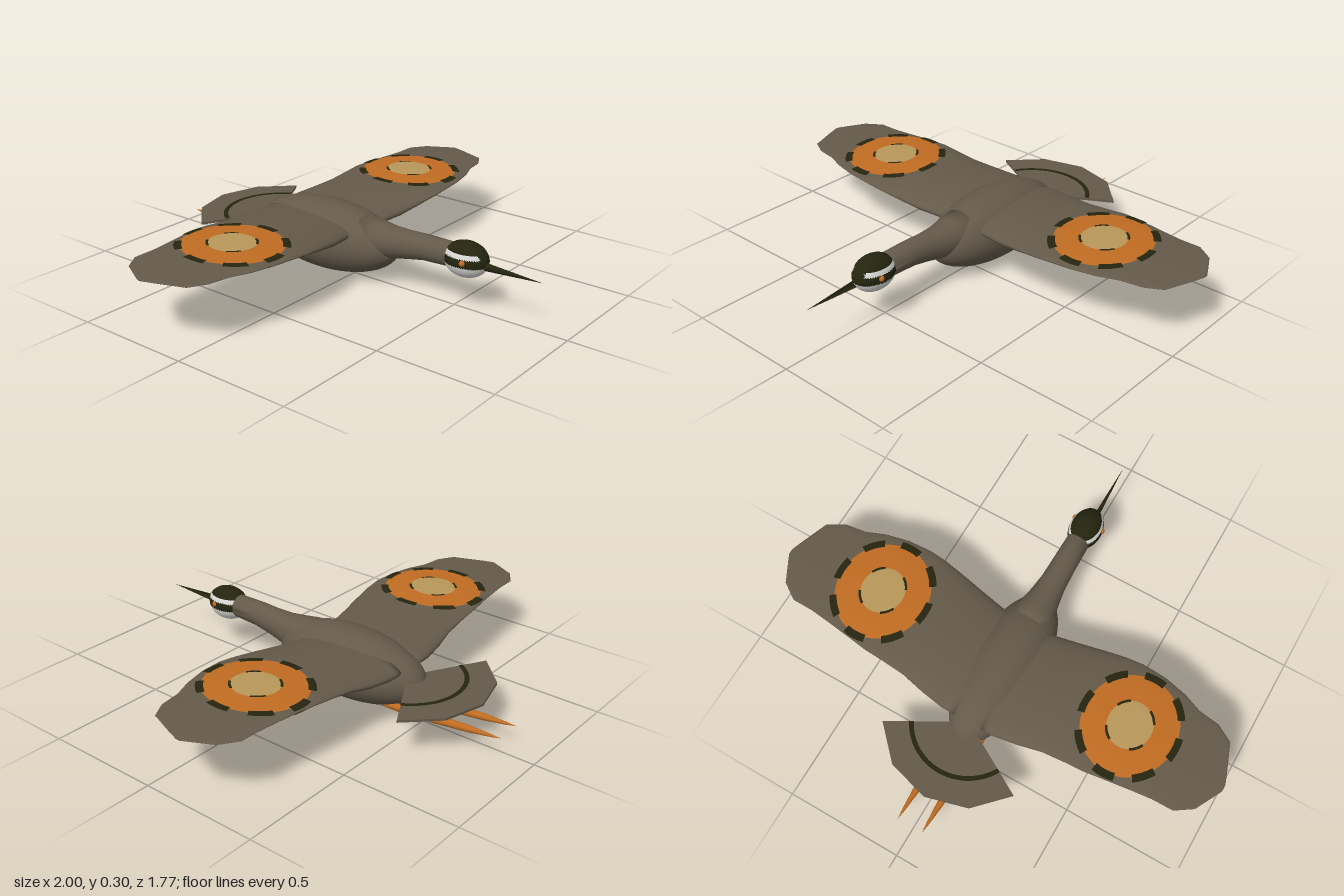
import * as THREE from 'three';

const mat = (name, color, side = THREE.FrontSide) => {
  const m = new THREE.MeshStandardMaterial({ color, side });
  m.name = name;
  return m;
};

// Wing sections: x, leading z, trailing z, centre y, half thickness
const WING = [
  [0.06, 0.04, -0.43, 0.215, 0.05],
  [0.12, 0.06, -0.43, 0.217, 0.05],
  [0.22, 0.078, -0.415, 0.224, 0.05],
  [0.32, 0.095, -0.395, 0.239, 0.04],
  [0.42, 0.11, -0.39, 0.254, 0.028],
  [0.5, 0.115, -0.388, 0.264, 0.021],
  [0.6, 0.108, -0.375, 0.268, 0.018],
  [0.7, 0.085, -0.362, 0.268, 0.015],
  [0.78, 0.053, -0.353, 0.268, 0.012],
  [0.87, 0.04, -0.352, 0.269, 0.009],
  [0.94, 0.0, -0.305, 0.269, 0.006],
  [0.985, -0.12, -0.22, 0.269, 0.004],
  [1.0, -0.165, -0.19, 0.269, 0.002],
];

function wingSection(x) {
  let i = 0;
  while (i < WING.length - 2 && x > WING[i + 1][0]) i++;
  const a = WING[i], b = WING[i + 1];
  const t = (x - a[0]) / (b[0] - a[0]);
  return a.map((v, k) => v + (b[k] - v) * t);
}

// Skin over equal-length rings of points, closed at both ends
function loft(rings) {
  const n = rings[0].length, pos = rings.flat(2), idx = [];
  for (let i = 0; i < rings.length - 1; i++) {
    for (let j = 0; j < n; j++) {
      const k = (j + 1) % n, a = i * n, b = a + n;
      idx.push(a + j, a + k, b + j, a + k, b + k, b + j);
    }
  }
  const last = (rings.length - 1) * n;
  for (let j = 1; j < n - 1; j++) idx.push(0, j + 1, j, last, last + j, last + j + 1);
  return indexed(pos, idx);
}

function indexed(pos, idx) {
  const g = new THREE.BufferGeometry();
  g.setAttribute('position', new THREE.Float32BufferAttribute(pos, 3));
  g.setIndex(idx);
  g.computeVertexNormals();
  return g;
}

function ringOf(n, fn) {
  return Array.from({ length: n }, (_, j) => fn((j / n) * Math.PI * 2));
}

// Mirror a geometry across x and keep faces outward
function mirrored(g) {
  const pos = Array.from(g.attributes.position.array, (v, i) => (i % 3 ? v : -v));
  return indexed(pos, Array.from(g.index.array).reverse());
}

// Marking that hugs the wing, cut from an elliptical ring
function marking(r0, r1, t0, t1, face, lift) {
  const nr = 8, nt = Math.max(4, Math.ceil((t1 - t0) * 9)), pos = [], idx = [];
  for (let i = 0; i <= nr; i++) {
    for (let j = 0; j <= nt; j++) {
      const r = r0 + ((r1 - r0) * i) / nr, t = t0 + ((t1 - t0) * j) / nt;
      const x = 0.57 + 0.193 * r * Math.cos(t), z = -0.14 + 0.212 * r * Math.sin(t);
      const [, lead, trail, cy, h] = wingSection(x);
      const u = Math.min(0.99, Math.abs((2 * z - lead - trail) / (lead - trail)));
      pos.push(x, cy + face * (h * Math.sqrt(1 - u * u) + lift), z);
      if (i < nr && j < nt) {
        const a = i * (nt + 1) + j, b = a + nt + 1;
        idx.push(a, a + 1, b, a + 1, b + 1, b);
      }
    }
  }
  return indexed(pos, idx);
}

export function createModel() {
  const model = new THREE.Group();
  const plumage = mat('olive brown plumage', 0x645a4a);
  const orange = mat('orange', 0xc06c22, THREE.DoubleSide);
  const cream = mat('cream', 0xb8985a, THREE.DoubleSide);
  const dark = mat('dark olive', 0x24240f, THREE.DoubleSide);
  const white = mat('white', 0xd8d8d4);

  const add = (name, geo, material, parent = model) => {
    const m = new THREE.Mesh(geo, material);
    m.name = name;
    parent.add(m);
    return m;
  };

  // Body
  const body = new THREE.SphereGeometry(1, 40, 28).rotateX(Math.PI / 2);
  body.scale(0.155, 0.148, 0.356).translate(0, 0.153, -0.14);
  add('body', body, plumage);

  // Neck: z, centre y, half width, half height
  const neck = [
    [0.06, 0.2, 0.088, 0.08], [0.13, 0.193, 0.08, 0.076], [0.2, 0.193, 0.066, 0.068],
    [0.27, 0.201, 0.056, 0.06], [0.36, 0.212, 0.052, 0.053], [0.5, 0.215, 0.049, 0.049],
  ].map(([z, cy, rx, ry]) => ringOf(28, a => [rx * Math.cos(a), cy + ry * Math.sin(a), z]));
  add('neck', loft(neck), plumage);

  // Head: faces sorted into dark cap, eye stripe and white bands
  const head = new THREE.SphereGeometry(1, 56, 40).toNonIndexed();
  const p = head.attributes.position, order = [[], []];
  for (let i = 0; i < p.count; i += 3) {
    const mid = k => (p['get' + k](i) + p['get' + k](i + 1) + p['get' + k](i + 2)) / 3;
    const y = mid('Y'), x = Math.abs(mid('X'));
    const isWhite = y < -0.2 || (y > 0.28 && y < 0.5 && x > 0.45);
    order[isWhite ? 1 : 0].push(i, i + 1, i + 2);
  }
  head.setIndex(order.flat());
  head.addGroup(0, order[0].length, 0);
  head.addGroup(order[0].length, order[1].length, 1);
  head.scale(0.07, 0.073, 0.096).translate(0, 0.213, 0.548);
  add('head', head, [dark, white]);
  for (const s of [1, -1]) {
    const eye = add(s > 0 ? 'leftEye' : 'rightEye', new THREE.SphereGeometry(0.013, 16, 12), orange);
    eye.position.set(s * 0.063, 0.219, 0.57);
  }

  // Bill: dark upper half, orange lower half
  for (const [name, start, m] of [['upperBill', Math.PI / 2, dark], ['lowerBill', -Math.PI / 2, orange]]) {
    const bill = new THREE.ConeGeometry(0.018, 0.265, 12, 1, false, start, Math.PI);
    bill.rotateX(Math.PI / 2).rotateZ(Math.PI / 2);
    // Turn each half so the dark one lies on top
    bill.computeBoundingBox();
    const upward = bill.boundingBox.max.y > 0.01;
    if (upward !== (m === dark)) bill.rotateZ(Math.PI);
    bill.translate(0, 0.203, 0.7525);
    add(name, bill, m);
  }

  // Wings with eye-like markings above and below
  const xs = WING.flatMap((w, i) => (i ? [(w[0] + WING[i - 1][0]) / 2, w[0]] : [w[0]]));
  const wing = loft(xs.map(x => {
    const [, lead, trail, cy, h] = wingSection(x);
    return ringOf(48, a => [x, cy + h * Math.cos(a), (lead + trail) / 2 + ((lead - trail) / 2) * Math.sin(a)]);
  }));
  const full = Math.PI * 2;
  for (const s of [1, -1]) {
    const side = new THREE.Group();
    side.name = s > 0 ? 'leftWing' : 'rightWing';
    model.add(side);
    const put = (name, g, m) => add(name, s > 0 ? g : mirrored(g), m, side);
    put('wingSurface', wing, plumage);
    for (const face of [1, -1]) {
      put('orangeSpot', marking(0.44, 1, 0, full, face, 0.003), orange);
      put('creamCentre', marking(0, 0.47, 0, full, face, 0.0035), cream);
      for (let k = 0; k < 8; k++) {
        const a = (k * Math.PI) / 4;
        put('spotFringe', marking(0.95, 1.1, a - 0.22, a + 0.22, face, 0.0036), dark);
        if (k % 2) put('centreDash', marking(0.45, 0.5, a - 0.3, a + 0.3, face, 0.0045), dark);
      }
    }
  }

  // Fan tail with a dark band
  const fan = new THREE.Shape([new THREE.Vector2(0, 0)]);
  const spread = 1.06;
  for (let i = -2; i <= 2; i++) {
    const a = (i / 2) * spread;
    fan.lineTo(-0.348 * Math.sin(a), 0.348 * Math.cos(a));
  }
  const tail = new THREE.ExtrudeGeometry(fan, { depth: 0.01, bevelEnabled: false });
  add('tail', tail.rotateX(-Math.PI / 2).translate(0, 0.169, -0.418), plumage);
  const band = new THREE.RingGeometry(0.222, 0.241, 32, 1, Math.PI / 2 - spread, spread * 2);
  add('tailBand', band.rotateX(-Math.PI / 2).translate(0, 0.181, -0.418), dark);

  // Legs trailing behind
  const legProfile = [[0, 0], [0.012, 0.01], [0.02, 0.14], [0.019, 0.26], [0.014, 0.41], [0.006, 0.51], [0, 0.555]]
    .map(([r, y]) => new THREE.Vector2(r, y));
  for (const s of [1, -1]) {
    const leg = add(s > 0 ? 'leftLeg' : 'rightLeg', new THREE.LatheGeometry(legProfile, 14), orange);
    leg.rotation.x = -Math.PI / 2 + 0.085;
    leg.position.set(s * 0.056, 0.053, -0.332);
  }
  return model;
}
